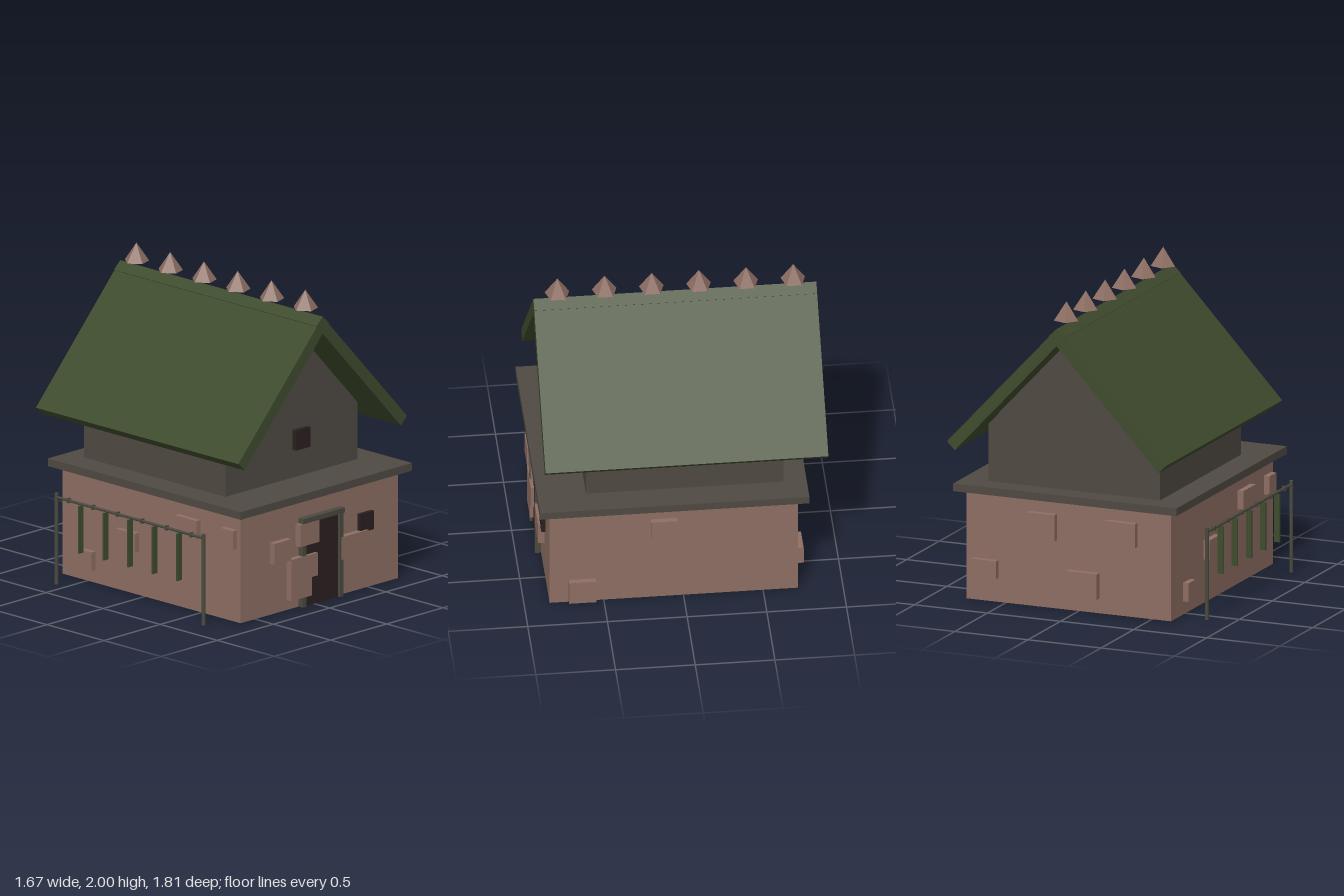
import * as THREE from 'three';

const mat = (name, color) => {
  const m = new THREE.MeshStandardMaterial({ color });
  m.name = name;
  return m;
};

export function createModel() {
  const model = new THREE.Group();
  model.name = 'house';
  const brown = mat('brown stone', 0x8d6e63);
  const grey = mat('weathered plaster', 0x4f4a42);
  const green = mat('mossy roof', 0x3e4b2d);
  const dark = mat('dark opening', 0x2b2020);
  const wood = mat('old timber', 0x4a4a40);

  const add = (name, geometry, material, parent = model) => {
    const mesh = new THREE.Mesh(geometry, material);
    mesh.name = name;
    parent.add(mesh);
    return mesh;
  };
  // Box given by its lowest and highest corners
  const box = (name, material, [x0, x1], [y0, y1], [z0, z1], parent) => {
    const mesh = add(name, new THREE.BoxGeometry(x1 - x0, y1 - y0, z1 - z0), material, parent);
    mesh.position.set((x0 + x1) / 2, (y0 + y1) / 2, (z0 + z1) / 2);
    return mesh;
  };
  // Prism from an outline in the xy plane, running from z0 to z1
  const prism = (name, material, points, z0, z1) => {
    const shape = new THREE.Shape(points.map(([x, y]) => new THREE.Vector2(x, y)));
    const geo = new THREE.ExtrudeGeometry(shape, { depth: z1 - z0, bevelEnabled: false });
    return add(name, geo.translate(0, 0, z0), material);
  };

  // Walls
  box('lowerWalls', brown, [-0.63, 0.77], [0, 0.7], [-0.72, 0.84]);
  box('floorSlab', grey, [-0.695, 0.83], [0.7, 0.75], [-0.785, 0.905]);
  box('upperWalls', grey, [-0.52, 0.655], [0.75, 1.21], [-0.64, 0.6]);
  prism('gable', grey, [[-0.47, 1.21], [0.61, 1.21], [0.07, 1.78]], -0.66, 0.6);

  // Two roof slabs crossing at the ridge
  const ridge = 0.07;
  for (const s of [-1, 1]) {
    const pts = [[0, 1.855], [-0.055, 1.803], [0.695, 1], [0.75, 1.052]];
    prism(s > 0 ? 'leftRoof' : 'rightRoof', green,
      pts.map(([x, y]) => [ridge + s * x, y]), -0.905, 0.87);
  }

  // Row of five-sided spikes above the ridge
  for (let i = 0; i < 6; i++) {
    const geo = new THREE.ConeGeometry(0.081, 0.12, 5).toNonIndexed();
    geo.computeVertexNormals();
    const spike = add('ridgeSpike', geo, brown);
    spike.rotation.y = -Math.PI / 2;
    spike.position.set(0.067, 1.94, -0.76 + i * 0.296);
  }

  // Door, frame and windows
  box('door', dark, [-0.085, 0.215], [0, 0.545], [0.83, 0.86]);
  box('doorPost', wood, [-0.113, -0.083], [0, 0.545], [0.84, 0.878]);
  box('doorPost', wood, [0.217, 0.248], [0, 0.545], [0.84, 0.878]);
  box('doorLintel', wood, [-0.117, 0.255], [0.545, 0.577], [0.84, 0.885]);
  box('upperWindow', dark, [0.005, 0.132], [0.96, 1.09], [0.67, 0.7]);
  box('lowerWindow', dark, [0.41, 0.53], [0.375, 0.495], [0.83, 0.867]);

  // Protruding stones on each wall: [from, to, bottom, top]
  const stones = new THREE.Group();
  stones.name = 'wallStones';
  model.add(stones);
  const front = [[-0.37, -0.22, 0.333, 0.47], [-0.14, 0.03, 0.4, 0.543],
    [-0.22, 0.015, 0.185, 0.333], [-0.22, -0.035, 0.065, 0.185], [0.23, 0.465, 0.24, 0.387]];
  const back = [[0.55, 0.72, 0.155, 0.27], [0.15, 0.34, 0.44, 0.61],
    [-0.14, 0.07, 0.095, 0.26], [-0.4, -0.19, 0.455, 0.61]];
  const left = [[0.04, 0.205, 0.48, 0.605], [0.55, 0.72, 0.01, 0.17]];
  const right = [[-0.535, -0.43, 0.085, 0.205], [-0.22, -0.05, 0.28, 0.405],
    [0.3, 0.49, 0.48, 0.6], [0.7, 0.81, 0.48, 0.6]];
  for (const [a, b, y0, y1] of front) box('frontStone', brown, [a, b], [y0, y1], [0.82, 0.881], stones);
  for (const [a, b, y0, y1] of back) box('backStone', brown, [a, b], [y0, y1], [-0.76, -0.7], stones);
  for (const [a, b, y0, y1] of left) box('leftStone', brown, [0.75, 0.806], [y0, y1], [a, b], stones);
  for (const [a, b, y0, y1] of right) box('rightStone', brown, [-0.668, -0.61], [y0, y1], [a, b], stones);

  // Drying rack beside the house: posts, rail, ties and hanging strips
  const rack = new THREE.Group();
  rack.name = 'dryingRack';
  rack.position.x = -0.817;
  model.add(rack);
  const z0 = -0.59, z1 = 0.7;
  for (const z of [z0, z1]) {
    add('rackPost', new THREE.CylinderGeometry(0.013, 0.013, 0.59, 8), wood, rack).position.set(0, 0.295, z);
  }
  const rail = add('rackRail', new THREE.CylinderGeometry(0.01, 0.01, z1 - z0, 8), wood, rack);
  rail.rotation.x = Math.PI / 2;
  rail.position.set(0, 0.565, (z0 + z1) / 2);
  for (let i = 1; i < 12; i++) {
    const z = z0 + (i / 12) * (z1 - z0);
    if (i % 2) box('railTie', wood, [-0.012, 0.012], [0.55, 0.58], [z - 0.007, z + 0.007], rack);
    else box('hangingStrip', green, [-0.02, 0.02], [0.245, 0.553], [z - 0.005, z + 0.005], rack);
  }
  return model;
}
